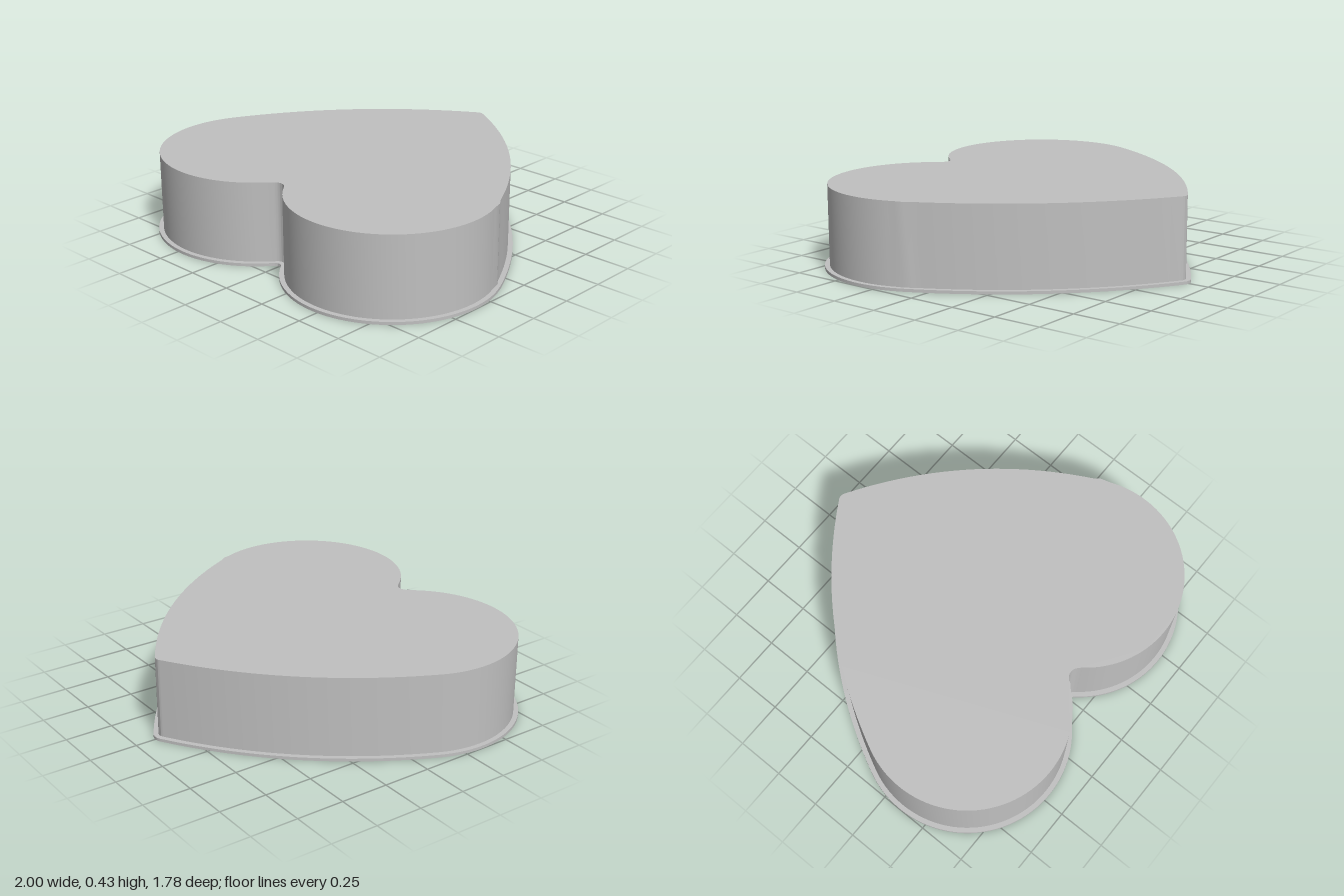
import * as THREE from 'three';
import { toCreasedNormals } from 'three/addons/utils/BufferGeometryUtils.js';

// Heart outline: rounded tip, two long flanks, two round lobes, rounded notch
function heartPoints() {
  const lobeX = 0.46, lobeY = -0.35, r = 0.54;
  const flankAngle = Math.atan2(0.23, 0.49);
  const notchAngle = Math.atan2(-0.329, -0.43);
  const s = new THREE.Shape();
  s.moveTo(-0.04, 0.88);
  s.quadraticCurveTo(0, 0.907, 0.04, 0.88);
  s.quadraticCurveTo(0.646, 0.516, 0.95, -0.12);
  s.absarc(lobeX, lobeY, r, flankAngle, notchAngle, true);
  s.quadraticCurveTo(0, -0.638, -0.03, -0.679);
  s.absarc(-lobeX, lobeY, r, Math.PI - notchAngle, Math.PI - flankAngle, true);
  s.quadraticCurveTo(-0.646, 0.516, -0.04, 0.88);
  const pts = s.getPoints(24);
  // drop near-duplicate joints
  return pts.filter((p, i) => p.distanceTo(pts[(i + 1) % pts.length]) > 1e-3);
}

// Move a clockwise outline inward by d
function inset(pts, d) {
  const n = pts.length;
  return pts.map((p, i) => {
    const t = pts[(i + 1) % n].clone().sub(p).normalize()
      .add(p.clone().sub(pts[(i + n - 1) % n]).normalize()).normalize();
    return new THREE.Vector2(p.x + t.y * d, p.y - t.x * d);
  });
}

// Upright slab between two heights
function slab(name, pts, y0, y1, material) {
  const geo = new THREE.ExtrudeGeometry(new THREE.Shape(pts), { depth: y1 - y0, bevelEnabled: false });
  geo.rotateX(-Math.PI / 2);
  geo.translate(0, y0, 0);
  const mesh = new THREE.Mesh(toCreasedNormals(geo, 0.7), material);
  mesh.name = name;
  return mesh;
}

export function createModel() {
  const grey = new THREE.MeshStandardMaterial({ color: 0xc0c0c0 });
  grey.name = 'light grey';
  const outline = heartPoints();
  const group = new THREE.Group();
  group.name = 'heartBox';
  group.add(
    slab('baseFlange', outline, 0, 0.015, grey),
    slab('heartBody', inset(outline, 0.025), 0.01, 0.43, grey),
  );
  return group;
}
